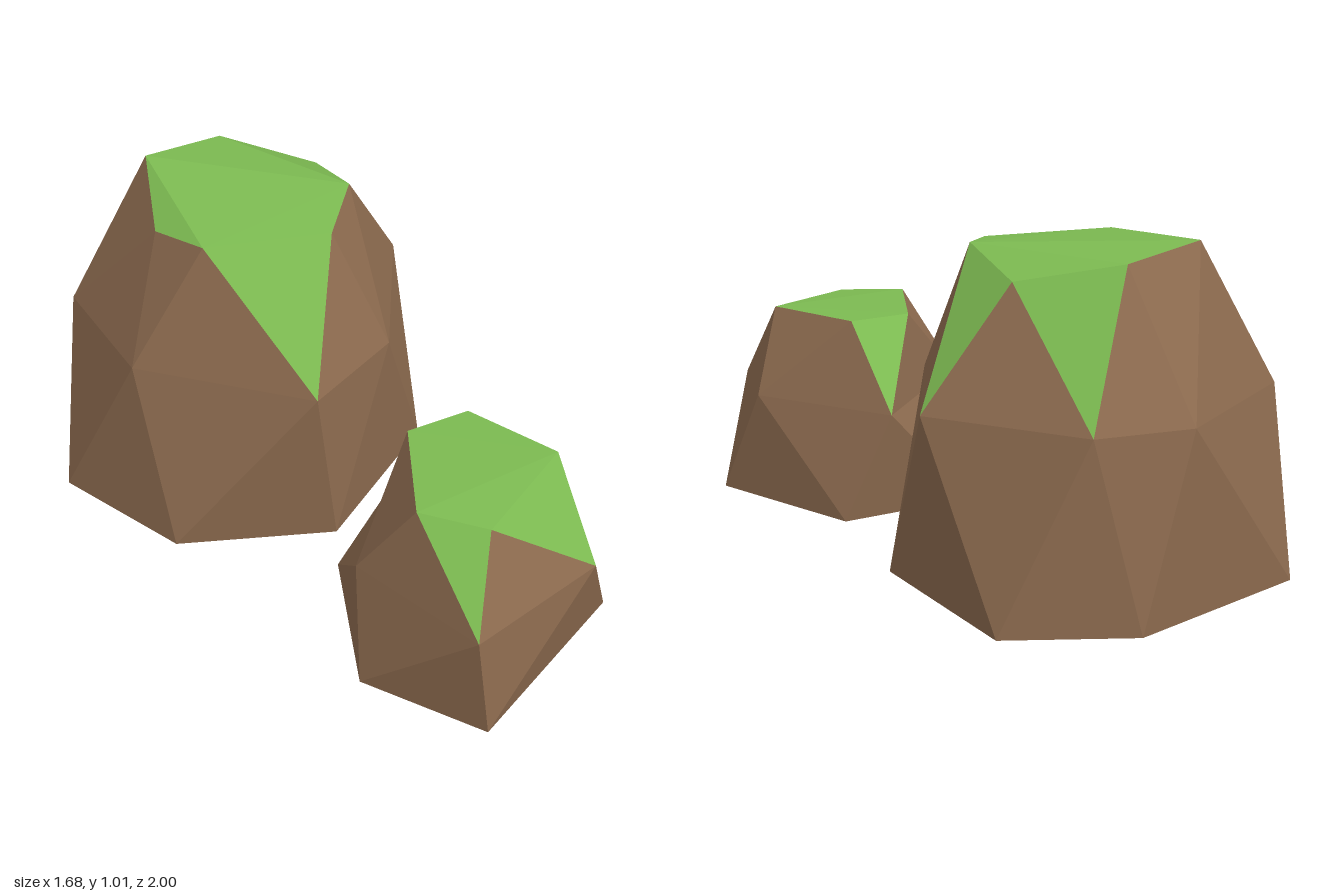
import * as THREE from 'three';

const stone = new THREE.MeshStandardMaterial({ color: 0x8d6b4f, flatShading: true });
stone.name = 'brown stone';
const moss = new THREE.MeshStandardMaterial({ color: 0x7cba51, flatShading: true });
moss.name = 'green moss';

// Mesh made of separate flat triangles
function facetMesh(name, triangles, material) {
  const geometry = new THREE.BufferGeometry();
  geometry.setAttribute('position', new THREE.Float32BufferAttribute(triangles.flat(2), 3));
  geometry.computeVertexNormals();
  const mesh = new THREE.Mesh(geometry, material);
  mesh.name = name;
  return mesh;
}

// Rock from three staggered rings. base and mid hold [x, z], top holds [x, y, z].
// cap lists the triangles of the top; mossy lists the upper facets that are green.
function makeRock(name, { base, mid, midY, top, cap, mossy }) {
  const b = base.map(([x, z]) => [x, 0, z]);
  const m = mid.map(([x, z]) => [x, midY, z]);
  const stoneFaces = [];
  const mossFaces = cap.map(([i, j, k]) => [top[k], top[j], top[i]]);
  const n = b.length;
  for (let k = 0; k < n; k++) {
    const j = (k + 1) % n;
    (mossy.includes(k) ? mossFaces : stoneFaces).push([top[k], top[j], m[k]]);
    stoneFaces.push([m[k], top[j], m[j]]); // upper slope
    stoneFaces.push([m[k], m[j], b[j]], [b[k], m[k], b[j]]); // lower wall
    if (k > 0 && k < n - 1) stoneFaces.push([b[0], b[k], b[j]]); // underside
  }
  const rock = new THREE.Group();
  rock.name = name;
  rock.add(facetMesh(name + 'Stone', stoneFaces, stone), facetMesh(name + 'Moss', mossFaces, moss));
  return rock;
}

export function createModel() {
  const model = new THREE.Group();
  model.name = 'mossyRocks';

  // Tall seven-sided rock at the back
  model.add(makeRock('largeRock', {
    base: [[-0.35, -1], [0.05, -0.99], [0.32, -0.42], [0.03, 0.1], [-0.48, 0.15], [-0.845, -0.17], [-0.845, -0.58]],
    mid: [[-0.21, -0.985], [0.24, -0.72], [0.2, -0.15], [-0.03, 0.155], [-0.6, -0.03], [-0.81, -0.43], [-0.5, -0.9]],
    midY: 0.56,
    top: [[-0.33, 0.98, -0.73], [-0.02, 0.92, -0.655], [0.08, 0.985, -0.41], [0.02, 0.955, -0.17],
      [-0.37, 0.96, -0.085], [-0.52, 0.925, -0.24], [-0.56, 1.01, -0.555]],
    cap: [[0, 1, 2], [0, 2, 6], [6, 2, 4], [2, 3, 4], [4, 5, 6]],
    mossy: [0, 1, 3],
  }));

  // Low five-sided rock at the front
  model.add(makeRock('smallRock', {
    base: [[0.03, 0.26], [0.445, 0.05], [0.84, 0.455], [0.44, 1], [0.08, 0.785]],
    mid: [[0.295, 0.07], [0.72, 0.345], [0.765, 0.675], [0.4, 1], [0.07, 0.66]],
    midY: 0.34,
    top: [[0.23, 0.6, 0.36], [0.415, 0.6, 0.265], [0.66, 0.605, 0.475], [0.44, 0.587, 0.8], [0.235, 0.6, 0.735]],
    cap: [[0, 1, 2], [0, 2, 4], [2, 3, 4]],
    mossy: [0, 2, 3],
  }));

  return model;
}
